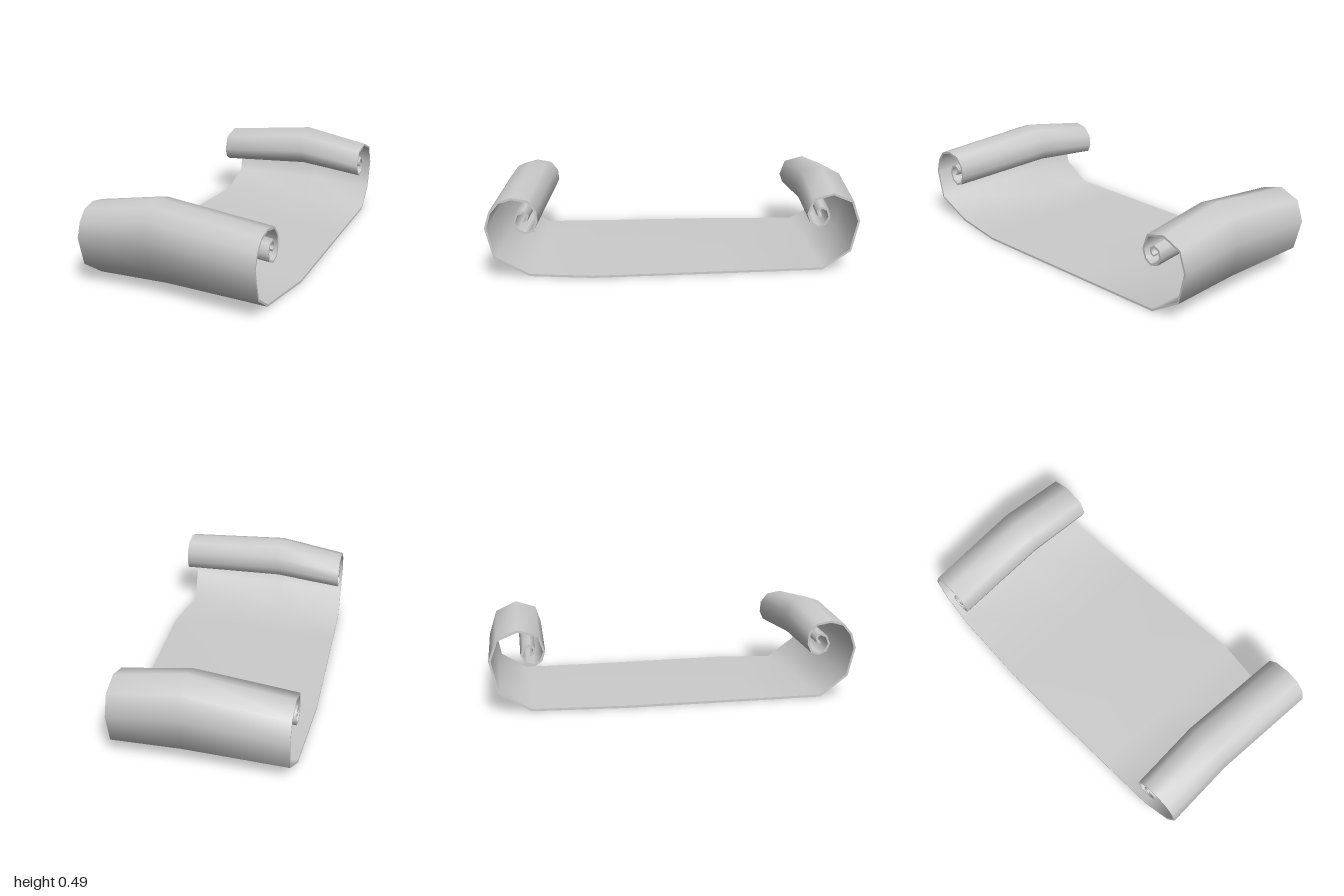
import * as THREE from 'three';
import { mergeGeometries } from 'three/addons/utils/BufferGeometryUtils.js';

const HALF = 0.006; // half the sheet thickness

// Curl profiles as [z, y], from the foot of the roll to the centre of the spiral
const FRONT_CURL = [
  [0.95, 0.12], [0.99, 0.28], [0.965, 0.36], [0.92, 0.415], [0.85, 0.435], [0.77, 0.42],
  [0.73, 0.37], [0.725, 0.31], [0.745, 0.265], [0.785, 0.25], [0.825, 0.27], [0.84, 0.31],
  [0.825, 0.35], [0.79, 0.365], [0.77, 0.345], [0.775, 0.32], [0.793, 0.312],
];
const BACK_CURL = [
  [-0.955, 0.12], [-0.993, 0.31], [-0.955, 0.435], [-0.85, 0.485], [-0.745, 0.452],
  [-0.718, 0.36], [-0.735, 0.305], [-0.77, 0.28], [-0.81, 0.295], [-0.832, 0.34],
  [-0.82, 0.385], [-0.79, 0.4], [-0.768, 0.38], [-0.772, 0.35], [-0.79, 0.342],
];
// Each roll bends at a middle station: x, height factor and z shift for left end, bend, right end
const FRONT = { x: [-0.49, -0.1, 0.51], h: [0.955, 1.12, 1], dz: [-0.03, -0.037, 0] };
const BACK = { x: [-0.494, 0.05, 0.433], h: [0.865, 1, 0.865], dz: [0, 0, 0.008] };

// Three cross-width stations for one point of a roll
function rollRow([z, y], roll) {
  return roll.x.map((x, j) => [x, y * roll.h[j], z + roll.dz[j]]);
}

// Surface through rows of points, facing (column direction) x (row direction)
function grid(rows) {
  const n = rows[0].length, index = [];
  for (let i = 0; i < rows.length - 1; i++) {
    for (let j = 0; j < n - 1; j++) {
      const a = i * n + j, b = a + 1, c = a + n, d = c + 1;
      index.push(a, b, c, b, d, c);
    }
  }
  const g = new THREE.BufferGeometry();
  g.setAttribute('position', new THREE.Float32BufferAttribute(rows.flat(2), 3));
  g.setIndex(index);
  g.computeVertexNormals();
  return g;
}

// Move every row sideways along the normal of its profile
function offset(rows, dist) {
  return rows.map((row, i) => row.map(([x, y, z], j) => {
    const p = rows[Math.max(i - 1, 0)][j], q = rows[Math.min(i + 1, rows.length - 1)][j];
    const ty = q[1] - p[1], tz = q[2] - p[2], len = Math.hypot(ty, tz);
    return [x, y - (tz / len) * dist, z + (ty / len) * dist];
  }));
}

export function createModel() {
  // Midline of the sheet: front spiral, flat middle, back spiral
  const flat = [
    [[-0.5, 0.009, 0.765], [-0.1, 0.018, 0.76], [0.48, 0.009, 0.775]],
    [[-0.508, 0.008, 0.44], [-0.06, 0.012, 0.44], [0.52, 0.008, 0.44]],
    [[-0.525, 0.007, -0.3], [0.01, 0.01, -0.3], [0.476, 0.007, -0.3]],
    [[-0.505, 0.009, -0.79], [0.05, 0.018, -0.79], [0.45, 0.009, -0.795]],
  ];
  const rows = [
    ...FRONT_CURL.map((p) => rollRow(p, FRONT)).reverse(),
    ...flat,
    ...BACK_CURL.map((p) => rollRow(p, BACK)),
  ];
  const top = offset(rows, HALF), under = offset(rows, -HALF);
  const last = rows.length - 1;

  const geometry = mergeGeometries([
    grid(top),
    grid(under.map((r) => [...r].reverse())),
    grid(top.map((r, i) => [r[2], under[i][2]])), // left edge
    grid(top.map((r, i) => [under[i][0], r[0]])), // right edge
    grid([under[0], top[0]]), // inner end of the front curl
    grid([top[last], under[last]]), // inner end of the back curl
  ]);

  const scroll = new THREE.Mesh(
    geometry,
    new THREE.MeshStandardMaterial({ color: 0xcccccc, side: THREE.DoubleSide }),
  );
  scroll.name = 'scrollSheet';
  const group = new THREE.Group();
  group.name = 'scroll';
  group.add(scroll);
  return group;
}
